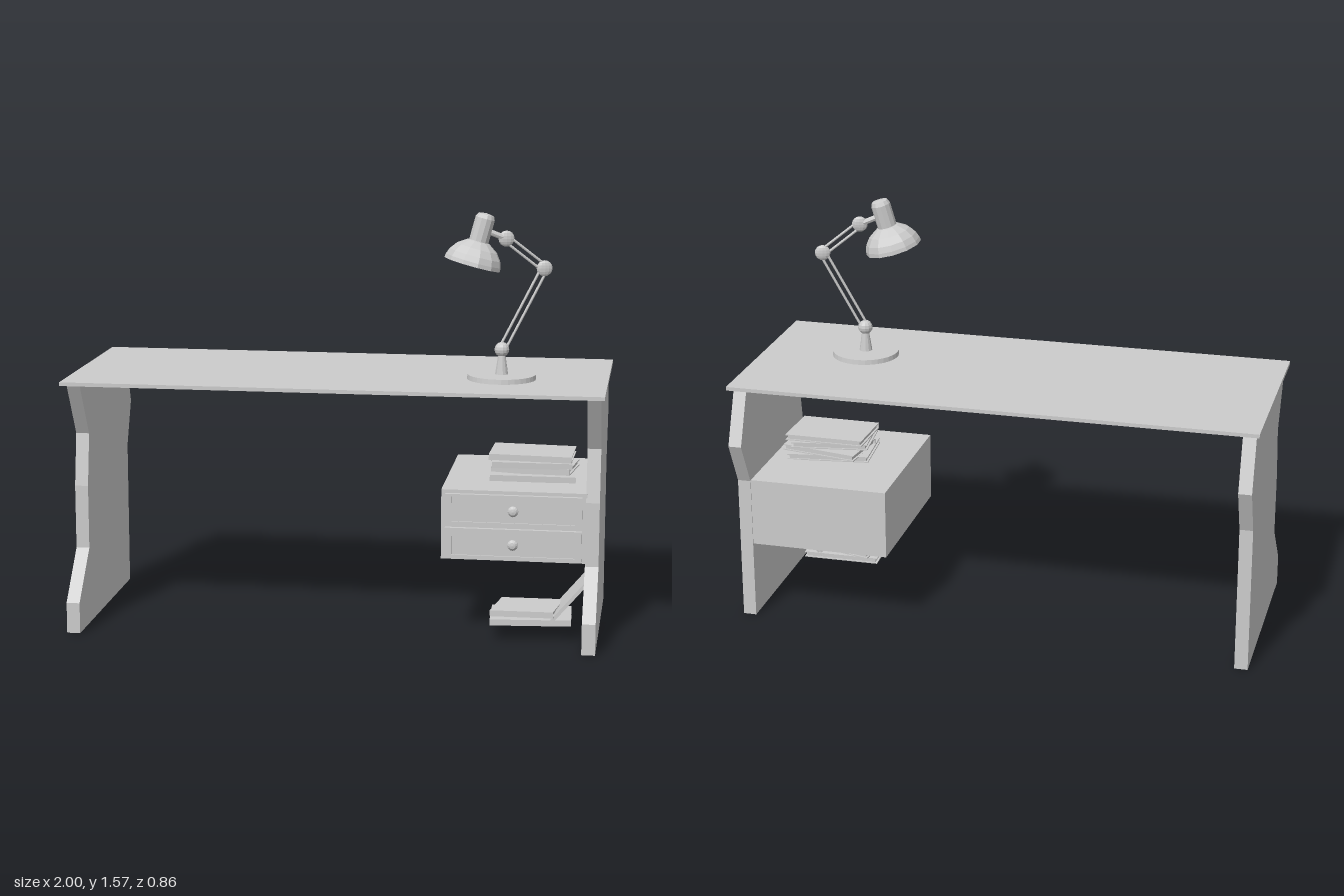
import * as THREE from 'three';

const grey = new THREE.MeshStandardMaterial({ color: 0xcccccc, flatShading: true });
const greyThin = new THREE.MeshStandardMaterial({ color: 0xcccccc, flatShading: true, side: THREE.DoubleSide });

function add(parent, name, geometry, x = 0, y = 0, z = 0, material = grey) {
  const mesh = new THREE.Mesh(geometry, material);
  mesh.name = name;
  mesh.position.set(x, y, z);
  parent.add(mesh);
  return mesh;
}

// Box given by its limits on each axis
function boxBetween(parent, name, x0, x1, y0, y1, z0, z1) {
  return add(parent, name, new THREE.BoxGeometry(x1 - x0, y1 - y0, z1 - z0),
    (x0 + x1) / 2, (y0 + y1) / 2, (z0 + z1) / 2);
}

// Round bar between two points
function rod(parent, name, a, b, radius, sides = 8) {
  const dir = b.clone().sub(a);
  const mesh = add(parent, name, new THREE.CylinderGeometry(radius, radius, dir.length(), sides));
  mesh.position.copy(a).add(b).multiplyScalar(0.5);
  mesh.quaternion.setFromUnitVectors(new THREE.Vector3(0, 1, 0), dir.normalize());
  return mesh;
}

const lathe = (points, sides) =>
  new THREE.LatheGeometry(points.map(([r, y]) => new THREE.Vector2(r, y)), sides);

// Zigzag side panel, profile in z and y
function sidePanel(parent, name, x, peak) {
  const outline = [[0.433, 0], [0.433, 0.116], [0.275, 0.29], [0.275, 0.53], [0.242, 0.726],
    [0.363, 0.932], [-0.348, 0.932], [peak, 0.728], [-0.348, 0.56], [-0.348, 0]];
  const shape = new THREE.Shape(outline.map(([z, y]) => new THREE.Vector2(z, y)));
  const geometry = new THREE.ExtrudeGeometry(shape, { depth: 0.05, bevelEnabled: false });
  geometry.translate(0, 0, -0.025).rotateY(-Math.PI / 2);
  add(parent, name, geometry, x);
}

// Drawer front: raised frame, recessed panel and turned knob
function drawer(y0, y1) {
  const group = new THREE.Group();
  group.name = 'drawer';
  const [x0, x1, m] = [0.418, 0.922, 0.025];
  const rect = (Type, a, b, c, d) => new Type([[a, c], [b, c], [b, d], [a, d]].map(([x, y]) => new THREE.Vector2(x, y)));
  const frame = rect(THREE.Shape, x0, x1, y0, y1);
  frame.holes.push(rect(THREE.Path, x0 + m, x1 - m, y0 + 0.01, y1 - 0.01));
  add(group, 'drawerFrame', new THREE.ExtrudeGeometry(frame, { depth: 0.018, bevelEnabled: false }), 0, 0, 0.27);
  boxBetween(group, 'drawerPanel', x0 + m, x1 - m, y0 + 0.01, y1 - 0.01, 0.265, 0.281);
  const knob = lathe([[0.009, 0], [0.009, 0.01], [0.02, 0.014], [0.02, 0.02], [0.012, 0.028], [0, 0.03]], 12);
  add(group, 'knob', knob.rotateX(Math.PI / 2), 0.67, (y0 + y1) / 2, 0.28);
  return group;
}

// Book: two covers and a spine around a page block
function book(width, height, depth) {
  const group = new THREE.Group();
  group.name = 'book';
  const t = 0.004;
  for (const s of [-1, 1]) add(group, 'cover', new THREE.BoxGeometry(width, t, depth), 0, s * (height - t) / 2, 0);
  add(group, 'pages', new THREE.BoxGeometry(width - 0.016, height - 2 * t, depth - 0.012));
  add(group, 'spine', new THREE.BoxGeometry(width, height, t), 0, 0, depth / 2 - t / 2);
  return group;
}

function deskLamp() {
  const lamp = new THREE.Group();
  lamp.name = 'deskLamp';
  const P = (x, y) => new THREE.Vector3(x, y, 0);
  const [base, elbow, wrist] = [P(0, 0.11), P(0.156, 0.41), P(0.012, 0.522)];

  add(lamp, 'lampBase', new THREE.CylinderGeometry(0.126, 0.128, 0.018, 32), 0, 0.009, 0);
  add(lamp, 'lampStem', new THREE.CylinderGeometry(0.012, 0.025, 0.085, 12), 0, 0.058, 0);

  // Joints
  [[base, 0.028, 0.9], [elbow, 0.03, 0.4], [wrist, 0.03, 0.4]].forEach(([p, r, flat]) => {
    add(lamp, 'lampJoint', new THREE.SphereGeometry(r, 12, 8), p.x, p.y, 0).scale.z = flat;
  });

  // Twin rods of both arms
  for (const [a, b, name] of [[base, elbow, 'lowerArm'], [elbow, wrist, 'upperArm']]) {
    const d = b.clone().sub(a).normalize();
    for (const s of [-0.012, 0.012]) {
      const offset = P(-d.y * s, d.x * s);
      rod(lamp, name, a.clone().add(offset), b.clone().add(offset), 0.005);
    }
  }

  // Tilted head with open shade
  const head = new THREE.Group();
  head.name = 'lampHead';
  head.position.set(-0.115, 0.429, 0);
  head.rotation.z = -0.27;
  add(head, 'lampShade', lathe([[0.108, 0], [0.106, 0.015], [0.098, 0.037], [0.078, 0.063], [0.044, 0.086], [0.034, 0.09]], 12),
    0, 0, 0, greyThin);
  add(head, 'lampSocket', lathe([[0, 0.07], [0.037, 0.07], [0.037, 0.175], [0.03, 0.19], [0, 0.195]], 12));
  lamp.add(head);
  rod(lamp, 'headBracket', P(-0.07, 0.555), wrist, 0.011);
  return lamp;
}

export function createModel() {
  const desk = new THREE.Group();
  desk.name = 'desk';

  boxBetween(desk, 'tabletop', -1, 1, 0.936, 0.95, -0.39, 0.41);
  sidePanel(desk, 'leftPanel', 0.96, -0.43);
  sidePanel(desk, 'rightPanel', -0.96, -0.418);

  // Drawer cabinet
  boxBetween(desk, 'cabinet', 0.403, 0.94, 0.3, 0.563, -0.345, 0.272);
  desk.add(drawer(0.31, 0.422), drawer(0.436, 0.55));

  // Books: x, y, z, width, depth, turn, tilt
  const books = [
    [0.72, 0.576, 0.01, 0.32, 0.21, 0.08, -0.02],
    [0.73, 0.601, -0.01, 0.3, 0.2, -0.14, 0.02],
    [0.715, 0.626, 0.01, 0.3, 0.21, 0.1, -0.02],
    [0.72, 0.652, 0, 0.31, 0.21, -0.03, -0.01],
    [0.735, 0.071, 0.19, 0.3, 0.2, 0.04, 0.015],
    [0.72, 0.101, 0.19, 0.24, 0.19, -0.16, 0.05],
  ];
  for (const [x, y, z, w, d, turn, tilt] of books) {
    const item = book(w, 0.023, d);
    item.position.set(x, y, z);
    item.rotation.set(0, turn, tilt);
    desk.add(item);
  }

  // Thin book leaning on the panel
  const leaning = book(0.2, 0.013, 0.2);
  leaning.position.set(0.875, 0.148, 0.19);
  leaning.rotation.z = 0.87;
  desk.add(leaning);

  const lamp = deskLamp();
  lamp.position.set(0.605, 0.95, 0.092);
  lamp.rotation.y = 0.27;
  desk.add(lamp);
  return desk;
}
